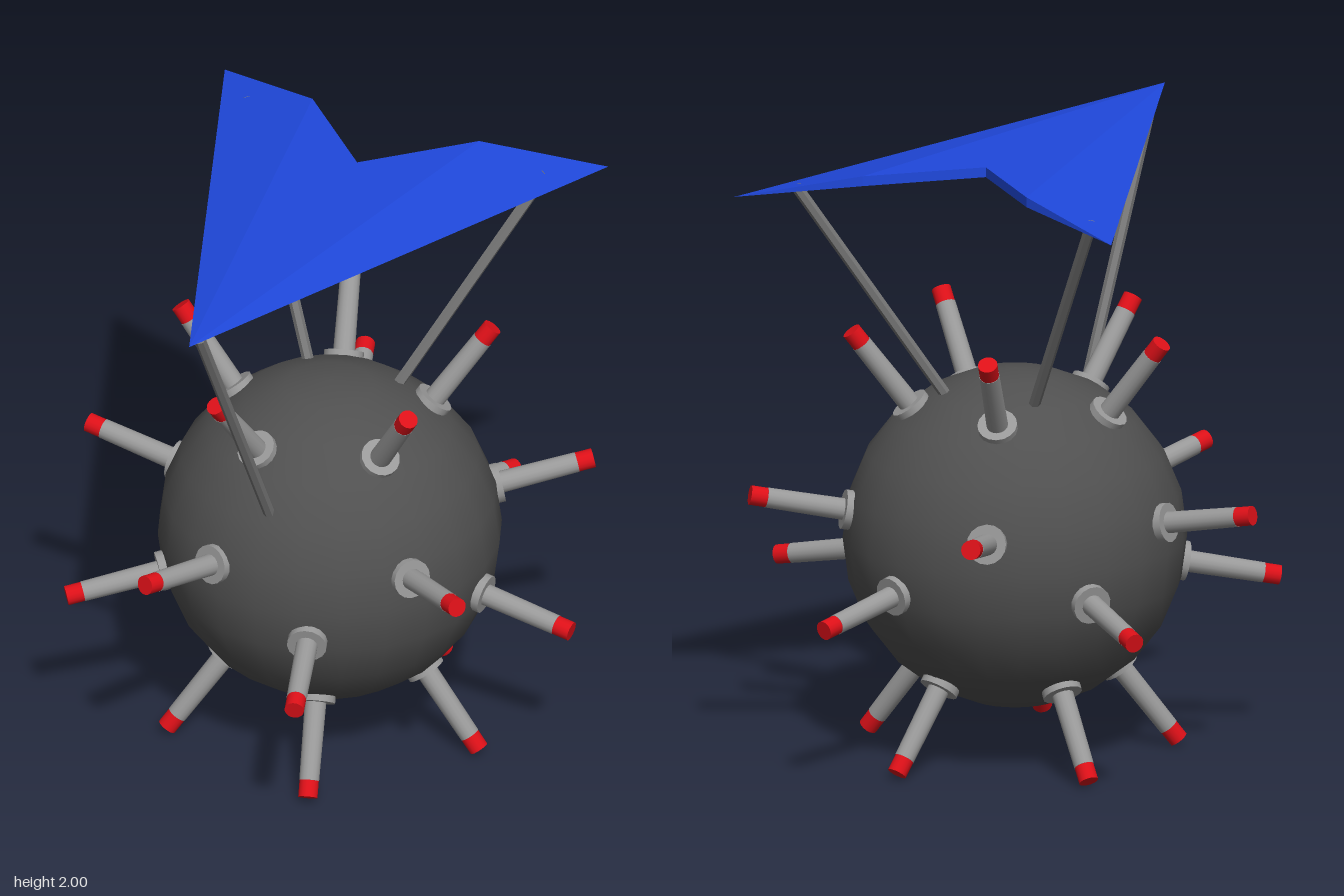
import * as THREE from 'three';

const paint = (color, extra = {}) => {
  const m = new THREE.MeshStandardMaterial(extra);
  m.color.set(color);
  return m;
};

const CENTER = new THREE.Vector3(0, 0.723, -0.115);
const UP = new THREE.Vector3(0, 1, 0);

// One horn, pointing along +y from the ball's centre
function makeHorn(mats) {
  const horn = new THREE.Group();
  const piece = (name, rTop, rBottom, y0, y1, mat) => {
    const mesh = new THREE.Mesh(new THREE.CylinderGeometry(rTop, rBottom, y1 - y0, 16), mat);
    mesh.position.y = (y0 + y1) / 2;
    mesh.name = name;
    horn.add(mesh);
  };
  piece('hornFlange', 0.065, 0.065, 0.53, 0.574, mats.metal);
  piece('hornShaft', 0.033, 0.036, 0.54, 0.83, mats.metal);
  piece('hornCap', 0.032, 0.032, 0.83, 0.885, mats.red);
  return horn;
}

// Swept wing: a thin solid that tapers to nothing at the nose and wing tips
function makeWing(mat) {
  const points = {
    nose: [0, 2, 0.94], notch: [0, 2, -0.32], notchLow: [0, 1.967, -0.32],
    rear: [0.3, 2, -0.61], rearLow: [0.3, 1.967, -0.61], tip: [0.69, 1.92, -0.765],
  };
  const faces = [
    ['nose', 'rear', 'notch'], ['nose', 'tip', 'rear'], // top
    ['nose', 'notchLow', 'rearLow'], ['nose', 'rearLow', 'tip'], // underside
    ['notch', 'rear', 'rearLow'], ['notch', 'rearLow', 'notchLow'], ['rear', 'tip', 'rearLow'], // trailing edge
  ];
  const pos = [];
  for (const side of [1, -1]) {
    for (const face of faces) {
      const corners = side > 0 ? face : [...face].reverse();
      for (const key of corners) {
        const [x, y, z] = points[key];
        pos.push(x * side, y, z);
      }
    }
  }
  const geo = new THREE.BufferGeometry();
  geo.setAttribute('position', new THREE.Float32BufferAttribute(pos, 3));
  geo.computeVertexNormals();
  const wing = new THREE.Mesh(geo, mat);
  wing.name = 'wing';
  return wing;
}

// Straight strut between two points
function makeStrut(name, from, to, mat) {
  const a = new THREE.Vector3(...from), b = new THREE.Vector3(...to);
  const dir = b.clone().sub(a);
  const strut = new THREE.Mesh(new THREE.CylinderGeometry(0.019, 0.019, dir.length(), 6), mat);
  strut.position.copy(a).add(b).multiplyScalar(0.5);
  strut.quaternion.setFromUnitVectors(UP, dir.normalize());
  strut.name = name;
  return strut;
}

export function createModel() {
  const model = new THREE.Group();
  const mats = { metal: paint(0x999999), red: paint(0xdd1018) };

  // Ball
  const ball = new THREE.Mesh(new THREE.SphereGeometry(0.56, 24, 12), paint(0x505050));
  ball.position.copy(CENTER);
  ball.name = 'ball';
  model.add(ball);

  // Horns at the corners of a dodecahedron: four rings of five
  const horns = new THREE.Group();
  horns.name = 'horns';
  horns.position.copy(CENTER);
  const rings = [[0.795, 180], [0.188, 180], [-0.188, 0], [-0.795, 0]];
  for (const [height, start] of rings) {
    const r = Math.sqrt(1 - height * height);
    for (let i = 0; i < 5; i++) {
      const a = THREE.MathUtils.degToRad(start + i * 72);
      const horn = makeHorn(mats);
      horn.name = 'horn';
      horn.quaternion.setFromUnitVectors(UP, new THREE.Vector3(r * Math.cos(a), height, r * Math.sin(a)));
      horns.add(horn);
    }
  }
  model.add(horns);

  // Wing on three struts
  model.add(makeWing(paint(0x1f48dc, { flatShading: true })));
  const strutMat = paint(0x777777, { flatShading: true });
  model.add(makeStrut('frontStrut', [0, 1.03, 0.34], [0, 1.985, 0.86], strutMat));
  for (const s of [1, -1]) {
    model.add(makeStrut(s > 0 ? 'leftStrut' : 'rightStrut', [s * 0.16, 1.21, -0.29], [s * 0.54, 1.94, -0.615], strutMat));
  }
  return model;
}
